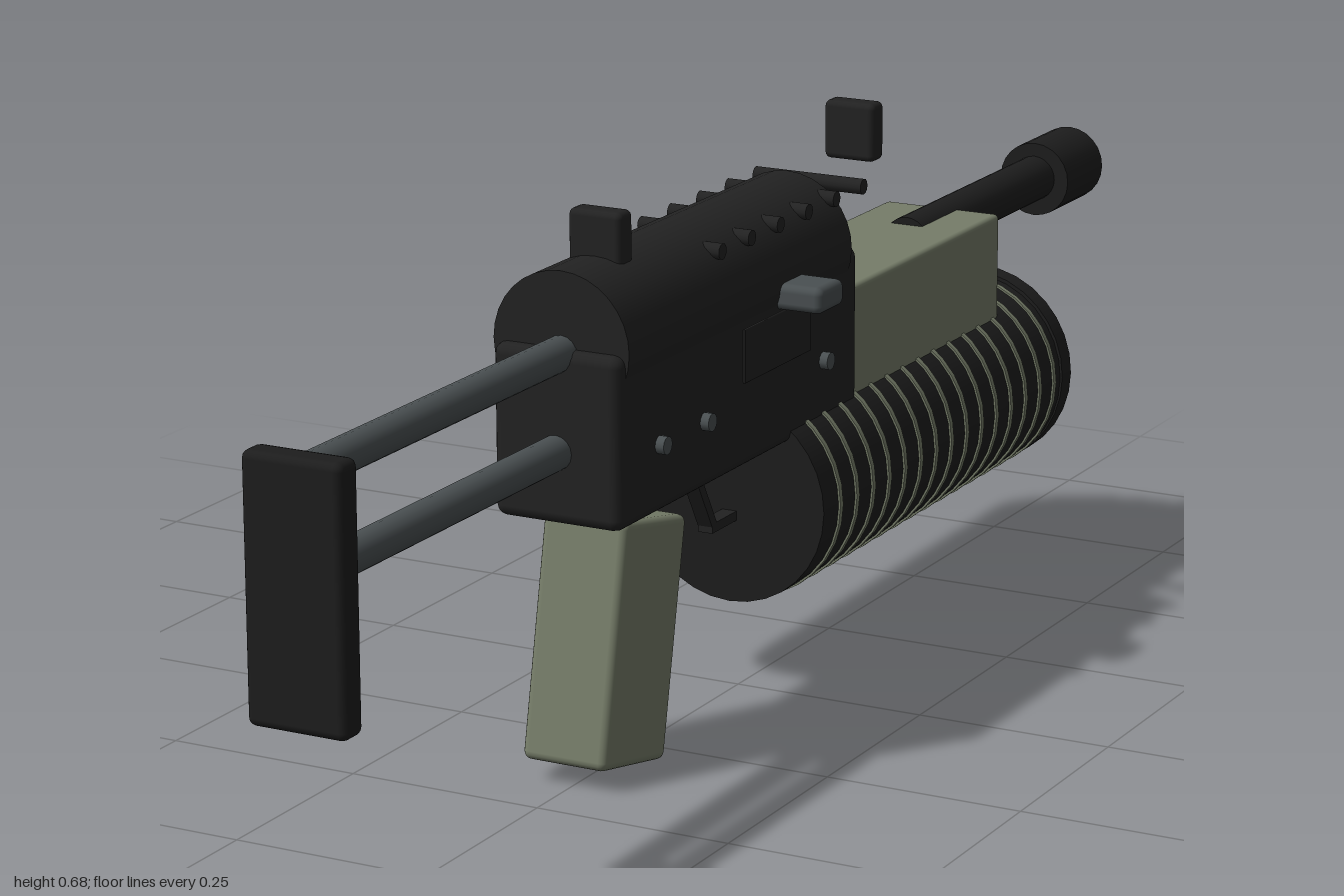
import * as THREE from 'three';
import { RoundedBoxGeometry } from 'three/addons/geometries/RoundedBoxGeometry.js';

const mat = (name, color) => {
  const m = new THREE.MeshStandardMaterial({ color });
  m.name = name;
  return m;
};

export function createModel() {
  const black = mat('black metal', 0x222222);
  const dark = mat('dark polymer', 0x1d1d1d);
  const green = mat('olive polymer', 0x767d69);
  const grey = mat('grey steel', 0x4a5052);
  const CX = -0.005; // centre plane of the body

  const group = new THREE.Group();
  const add = (name, geometry, material, x, y, z) => {
    const m = new THREE.Mesh(geometry, material);
    m.name = name;
    m.position.set(x, y, z);
    group.add(m);
    return m;
  };
  // Rounded box given by its extents
  const box = (name, material, [x0, x1], [y0, y1], [z0, z1], r = 0.01) =>
    add(name, new RoundedBoxGeometry(x1 - x0, y1 - y0, z1 - z0, 2, r), material,
      (x0 + x1) / 2, (y0 + y1) / 2, (z0 + z1) / 2);
  // Cylinder running along z
  const rodZ = (name, material, r, y, z0, z1, sides = 24) =>
    add(name, new THREE.CylinderGeometry(r, r, z1 - z0, sides).rotateX(Math.PI / 2),
      material, CX, y, (z0 + z1) / 2);
  // Cylinder running along x
  const rodX = (name, material, r, x0, x1, y, z) =>
    add(name, new THREE.CylinderGeometry(r, r, x1 - x0, 12).rotateZ(Math.PI / 2),
      material, (x0 + x1) / 2, y, z);

  // Receiver with a rounded top cover
  box('receiver', black, [-0.089, 0.079], [0.333, 0.541], [-0.17, 0.44], 0.014);
  rodZ('receiverCover', black, 0.089, 0.543, -0.14, 0.425, 32);
  for (let i = 0; i < 6; i++) rodX('coverRib', black, 0.01, -0.08, 0.07, 0.607, 0.172 - i * 0.0745);

  // Side details
  box('ejectionPort', black, [0.083, 0.087], [0.442, 0.508], [-0.024, 0.147], 0.001);
  box('chargingHandle', grey, [0.06, 0.138], [0.508, 0.541], [-0.015, 0.05], 0.01);
  for (const z of [0.345, 0.235, -0.073]) rodX('receiverPin', grey, 0.011, 0.07, 0.09, 0.417, z);

  // Sights
  box('rearSight', black, [-0.04, 0.03], [0.61, 0.685], [0.315, 0.347], 0.008);
  box('frontSight', black, [-0.04, 0.03], [0.61, 0.685], [-0.339, -0.307], 0.008);

  // Stock
  box('buttPlate', dark, [-0.068, 0.058], [0.252, 0.56], [0.962, 1.0], 0.01);
  for (const y of [0.535, 0.42]) rodZ('stockRod', grey, 0.021, y, 0.42, 0.97, 16);

  // Pistol grip, leaning back
  const grip = add('grip', new RoundedBoxGeometry(0.112, 0.295, 0.153, 2, 0.01), green, CX - 0.001, 0.166, 0.326);
  grip.rotation.x = -0.198;

  // Trigger guard bars
  const bar = (z0, y0, z1, y1) => {
    const len = Math.hypot(z1 - z0, y1 - y0);
    const m = add('triggerGuard', new THREE.BoxGeometry(0.02, 0.012, len + 0.01), black, CX, (y0 + y1) / 2, (z0 + z1) / 2);
    m.rotation.x = -Math.atan2(y1 - y0, z1 - z0);
  };
  bar(0.07, 0.233, 0.132, 0.34);
  bar(0.0, 0.231, 0.072, 0.231);

  // Handguard and barrel
  box('handguard', green, [-0.088, 0.076], [0.345, 0.49], [-0.59, -0.15], 0.007);
  rodZ('barrel', dark, 0.03, 0.47, -0.9, -0.478);
  rodZ('muzzle', dark, 0.05, 0.468, -0.99, -0.875);
  rodZ('muzzleBore', dark, 0.026, 0.468, -1.0, -0.98);

  // Drum magazine with coloured rings
  rodZ('magazine', dark, 0.13, 0.25, -0.7, 0.014, 32);
  rodZ('magazineCap', dark, 0.133, 0.252, -0.71, -0.682, 32);
  for (let i = 0; i < 15; i++) {
    const z = -0.03 - i * 0.045;
    rodZ('magazineRing', green, 0.1325, 0.25, z - 0.004, z + 0.004, 32);
  }
  return group;
}
